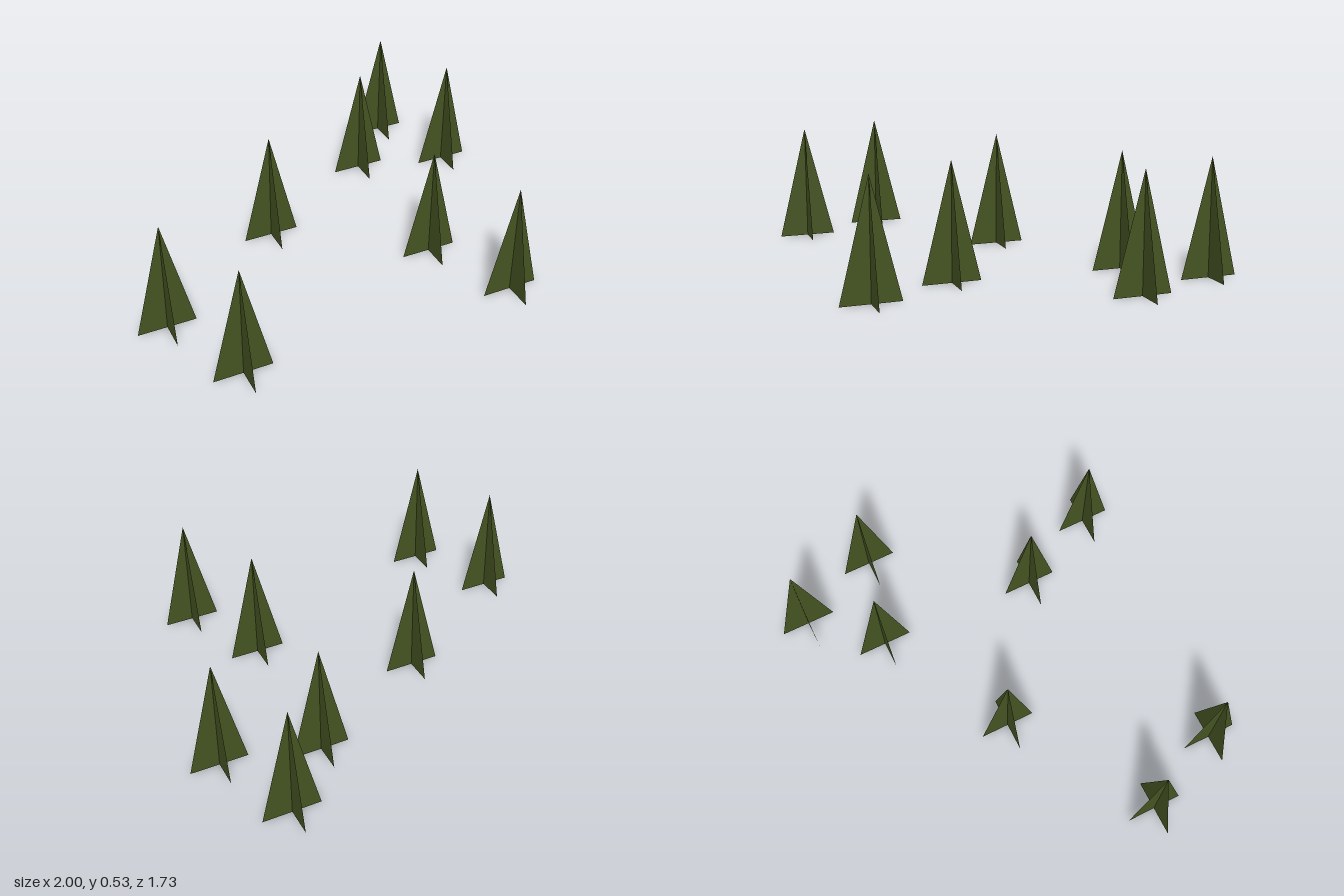
import * as THREE from 'three';

const HEIGHT = 0.53;
const HALF_WIDTH = 0.132;

// Ground position (x, z) of each tree
const POSITIONS = [
  [-0.868, 0.336], [-0.681, 0.735], [-0.202, -0.09], [0.41, 0.336],
  [0.597, 0.735], [0.437, -0.439], [0.704, -0.731], [0.865, -0.332],
];

export function createModel() {
  const grove = new THREE.Group();
  grove.name = 'grove';

  const foliage = new THREE.MeshStandardMaterial({ color: 0x465522, side: THREE.DoubleSide });

  // Thin triangular card standing on the ground
  const outline = new THREE.Shape([
    new THREE.Vector2(-HALF_WIDTH, 0),
    new THREE.Vector2(HALF_WIDTH, 0),
    new THREE.Vector2(0, HEIGHT),
  ]);
  const card = new THREE.ShapeGeometry(outline);

  // Each tree is two cards crossed at right angles
  POSITIONS.forEach(([x, z], i) => {
    const tree = new THREE.Group();
    tree.name = `tree${i + 1}`;
    ['foliageAcross', 'foliageAlong'].forEach((name, k) => {
      const mesh = new THREE.Mesh(card, foliage);
      mesh.name = name;
      mesh.rotation.y = k * Math.PI / 2;
      tree.add(mesh);
    });
    tree.position.set(x, 0, z);
    grove.add(tree);
  });

  return grove;
}
